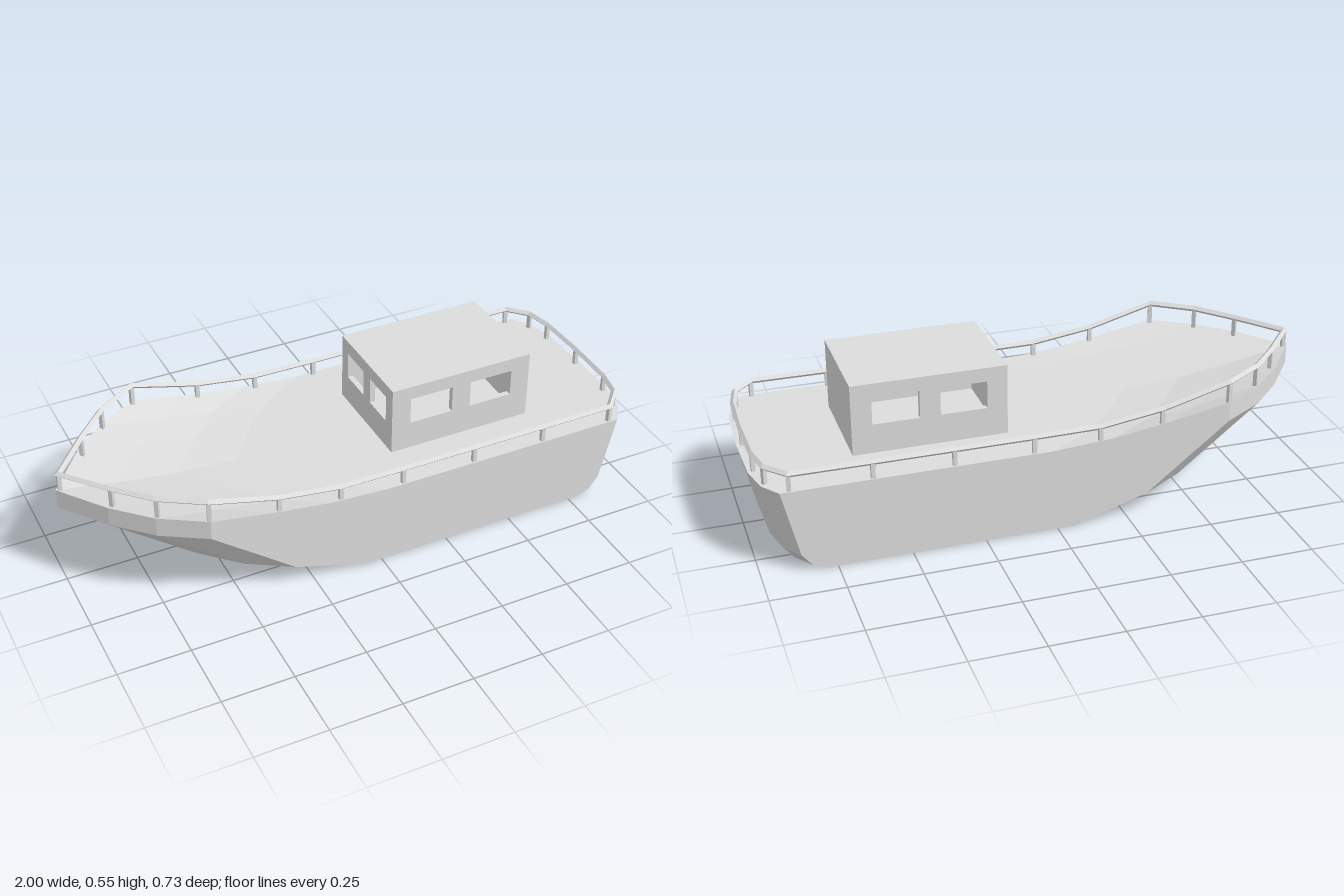
import * as THREE from 'three';

const gray = new THREE.MeshStandardMaterial({ color: 0xdcdcdc, flatShading: true });
gray.name = 'plain gray';

function addMesh(parent, name, geometry) {
  const mesh = new THREE.Mesh(geometry, gray);
  mesh.name = name;
  parent.add(mesh);
  return mesh;
}

// Joins rings of [x, y, z] points into a surface; a flat-sided quad strip per ring pair
function loft(rings, closed) {
  const n = rings[0].length, index = [];
  const count = closed ? rings.length : rings.length - 1;
  for (let i = 0; i < count; i++) {
    const j = (i + 1) % rings.length;
    for (let k = 0; k < n; k++) {
      const m = (k + 1) % n;
      const a = i * n + k, b = i * n + m, c = j * n + m, d = j * n + k;
      index.push(a, b, c, a, c, d);
    }
  }
  return { points: rings.flat(2), index };
}

function toGeometry({ points, index }) {
  const g = new THREE.BufferGeometry();
  g.setAttribute('position', new THREE.Float32BufferAttribute(points, 3));
  g.setIndex(index);
  const flat = g.toNonIndexed();
  flat.computeVertexNormals();
  return flat;
}

function interpolate(table, v) {
  for (let i = 1; i < table.length; i++) {
    const [a, fa] = table[i - 1], [b, fb] = table[i];
    if (v <= b) return fa + (fb - fa) * (v - a) / (b - a);
  }
  return table[table.length - 1][1];
}

// Hull: one lengthwise profile, its ends pulled in towards the sides
function hullGeometry() {
  const bowPull = [[0, 0], [0.16, 0.122], [0.275, 0.24], [0.366, 0.39]];
  const sternPull = [[0, 0], [0.2, 0.006], [0.3, 0.03], [0.366, 0.078]];
  // Counter-clockwise: bottom, stern, deck, bow
  const profile = [
    [-0.71, 0.083], [-0.45, 0],
    [0.86, 0], [0.91, 0.018], [0.945, 0.062], [1, 0.297],
    [-0.37, 0.297], [-0.58, 0.311], [-0.78, 0.34], [-1, 0.38], [-1, 0.31],
  ];
  const half = [0.16, 0.2, 0.275, 0.3, 0.366];
  const stations = [...half.map((z) => -z).reverse(), 0, ...half];
  const rings = stations.map((z) => {
    const bow = interpolate(bowPull, Math.abs(z));
    const stern = interpolate(sternPull, Math.abs(z));
    return profile.map(([x, y]) => [x > 0 ? x - stern : x + bow, y, z]);
  });
  const hull = loft(rings, false);
  // Flat sides
  const last = (rings.length - 1) * profile.length;
  const outline = rings[0].map(([x, y]) => new THREE.Vector2(x, y));
  for (const [a, b, c] of THREE.ShapeUtils.triangulateShape(outline, [])) {
    hull.index.push(last + a, last + b, last + c, a, c, b);
  }
  return toGeometry(hull);
}

// Railing: a mitred rail of diamond section on posts, following the deck edge
function addRailing(parent) {
  const side = [
    [-0.985, 0.451, 0], [-0.86, 0.455, 0.15], [-0.75, 0.459, 0.265], [-0.61, 0.462, 0.355],
    [-0.37, 0.398, 0.355], [-0.15, 0.367, 0.355], [0.08, 0.365, 0.355], [0.35, 0.365, 0.355],
    [0.62, 0.365, 0.355], [0.89, 0.366, 0.355], [0.955, 0.367, 0.285], [0.975, 0.367, 0.19],
    [0.98, 0.367, 0],
  ];
  const mirrored = side.slice(1, -1).reverse().map(([x, y, z]) => [x, y, -z]);
  const path = [...side, ...mirrored];
  const n = path.length, w = 0.011, t = 0.022;
  const rings = path.map(([x, y, z], i) => {
    const p = path[(i + n - 1) % n], q = path[(i + 1) % n];
    const d1 = new THREE.Vector2(x - p[0], z - p[2]).normalize();
    const d2 = new THREE.Vector2(q[0] - x, q[2] - z).normalize();
    // Outward mitre direction in plan
    const out = new THREE.Vector2(-d1.y - d2.y, d1.x + d2.x).normalize();
    const k = w / (-out.x * d1.y + out.y * d1.x);
    const ox = out.x * k, oz = out.y * k;
    // Top, outer, bottom and inner edges
    return [
      [x, y, z], [x + ox, y - t / 2, z + oz],
      [x, y - t, z], [x - ox, y - t / 2, z - oz],
    ];
  });
  addMesh(parent, 'rail', toGeometry(loft(rings, true)));

  const postGeometry = new THREE.BoxGeometry(0.014, 0.085, 0.014);
  path.forEach(([x, y, z], i) => {
    const p = path[(i + n - 1) % n], q = path[(i + 1) % n];
    const post = addMesh(parent, 'railPost', postGeometry);
    post.position.set(x, y - 0.056, z);
    post.rotation.y = -Math.atan2(q[2] - p[2], q[0] - p[0]);
  });
}

// Wall panel with rectangular windows [x0, x1], drawn from the deck up
function wallGeometry(width, height, depth, windows) {
  const shape = new THREE.Shape([
    new THREE.Vector2(-width / 2, 0), new THREE.Vector2(width / 2, 0),
    new THREE.Vector2(width / 2, height), new THREE.Vector2(-width / 2, height),
  ]);
  for (const [a, b] of windows) {
    shape.holes.push(new THREE.Path([
      new THREE.Vector2(a, 0.103), new THREE.Vector2(a, 0.2),
      new THREE.Vector2(b, 0.2), new THREE.Vector2(b, 0.103),
    ]));
  }
  return new THREE.ExtrudeGeometry(shape, { depth, bevelEnabled: false });
}

// Cabin: hollow, with windows on both sides and facing the bow
function addCabin(parent) {
  const L = 0.53, W = 0.384, H = 0.249, t = 0.02;
  const sideWall = wallGeometry(L, H, t, [[-0.195, -0.035], [0.035, 0.195]]);
  addMesh(parent, 'cabinSideWall', sideWall).position.z = W / 2 - t;
  addMesh(parent, 'cabinSideWall', sideWall).position.z = -W / 2;

  const inner = W - 2 * t;
  const bowWall = addMesh(parent, 'cabinBowWall',
    wallGeometry(inner, H, t, [[-0.145, -0.025], [0.025, 0.145]]));
  bowWall.rotation.y = Math.PI / 2;
  bowWall.position.x = -L / 2;
  const sternWall = addMesh(parent, 'cabinSternWall', wallGeometry(inner, H, t, []));
  sternWall.rotation.y = Math.PI / 2;
  sternWall.position.x = L / 2 - t;

  const roof = addMesh(parent, 'cabinRoof', new THREE.BoxGeometry(L, t, W));
  roof.position.y = H - t / 2 + 0.0005;
}

export function createModel() {
  const boat = new THREE.Group();
  boat.name = 'boat';
  addMesh(boat, 'hull', hullGeometry());

  const railing = new THREE.Group();
  railing.name = 'railing';
  addRailing(railing);
  boat.add(railing);

  const cabin = new THREE.Group();
  cabin.name = 'cabin';
  addCabin(cabin);
  cabin.position.set(0.385, 0.297, 0);
  boat.add(cabin);
  return boat;
}
